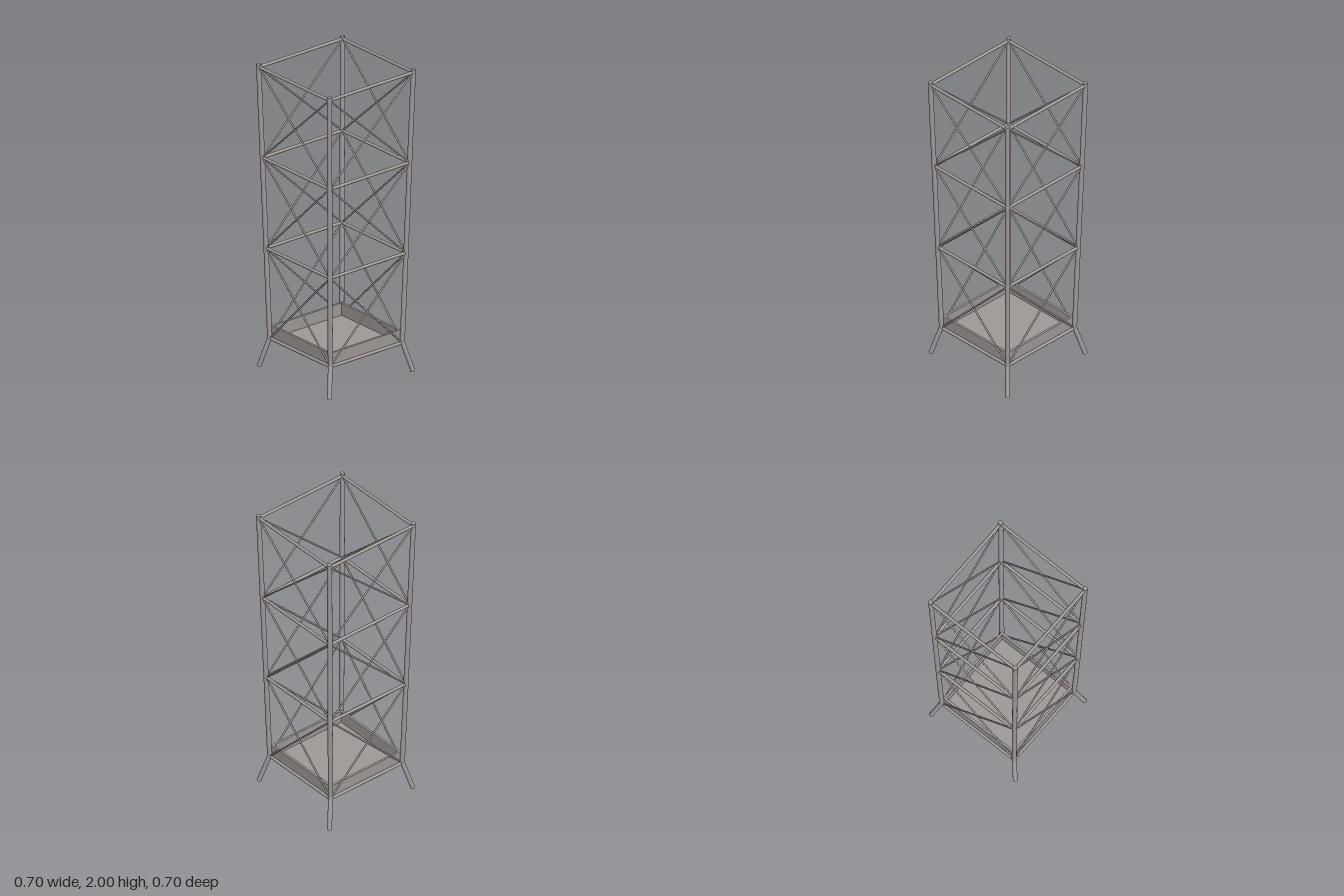
import * as THREE from 'three';

const steel = new THREE.MeshStandardMaterial({ color: 0xa09a98 });
steel.name = 'warm grey steel';

const UP = new THREE.Vector3(0, 1, 0);

// Round bar between two points
function bar(name, a, b, radius, sides = 16) {
  const dir = b.clone().sub(a);
  const mesh = new THREE.Mesh(new THREE.CylinderGeometry(radius, radius, dir.length(), sides), steel);
  mesh.name = name;
  mesh.position.copy(a).add(b).multiplyScalar(0.5);
  mesh.quaternion.setFromUnitVectors(UP, dir.normalize());
  return mesh;
}

function box(name, w, h, d, x, y, z) {
  const mesh = new THREE.Mesh(new THREE.BoxGeometry(w, h, d), steel);
  mesh.name = name;
  mesh.position.set(x, y, z);
  return mesh;
}

export function createModel() {
  const model = new THREE.Group();
  model.name = 'latticeTower';

  const signs = [[1, 1], [1, -1], [-1, -1], [-1, 1]];
  const levels = [0.19, 0.785, 1.383, 1.98];
  // Half width of the frame, flaring towards the top
  const halfWidth = (y) => 0.285 + (0.333 - 0.285) * (y - 0.19) / 1.81;
  const corner = (i, y, r = halfWidth(y)) => {
    const [sx, sz] = signs[i % 4];
    return new THREE.Vector3(sx * r, y, sz * r);
  };

  for (let i = 0; i < 4; i++) {
    // Corner post and splayed foot
    model.add(bar('cornerPost', corner(i, 0.185), corner(i, 2), 0.0155, 20));
    model.add(bar('foot', corner(i, 0.005, 0.331), corner(i, 0.195), 0.0145, 20));

    // Horizontal rails
    for (const y of levels) model.add(bar('rail', corner(i, y), corner(i + 1, y), 0.01));

    // Crossed braces in each bay
    for (let k = 0; k < 3; k++) {
      const [low, high] = [levels[k], levels[k + 1]];
      model.add(bar('brace', corner(i, low), corner(i + 1, high), 0.0055, 12));
      model.add(bar('brace', corner(i + 1, low), corner(i, high), 0.0055, 12));
    }
  }

  // Shallow open tray at the base
  const tray = new THREE.Group();
  tray.name = 'tray';
  tray.add(box('trayFloor', 0.56, 0.014, 0.56, 0, 0.187, 0));
  for (const s of [1, -1]) {
    tray.add(box('traySideWall', 0.015, 0.095, 0.56, s * 0.2725, 0.2275, 0));
    tray.add(box('trayEndWall', 0.53, 0.095, 0.015, 0, 0.2275, s * 0.2725));
  }
  model.add(tray);

  return model;
}
